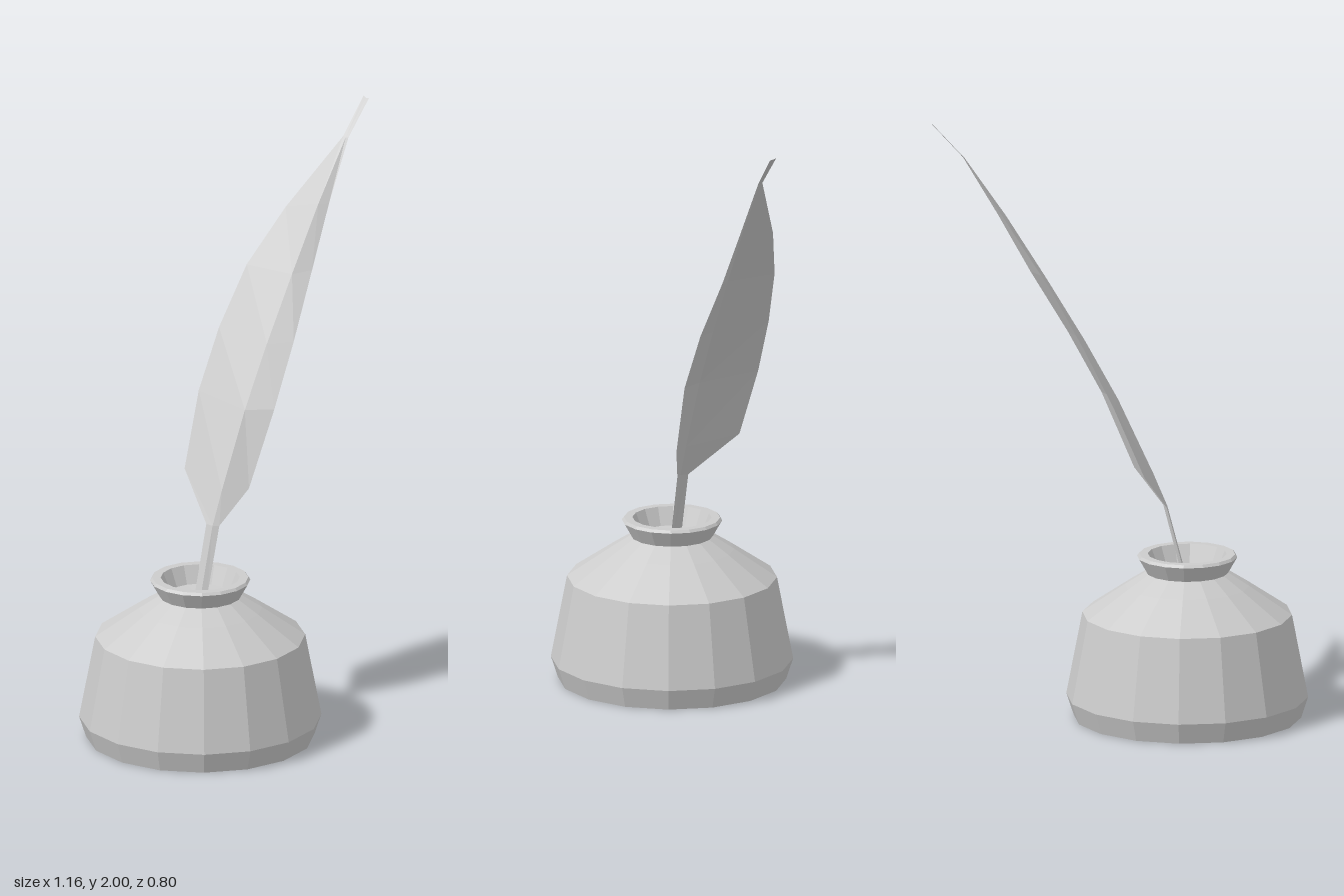
import * as THREE from 'three';

const grey = new THREE.MeshStandardMaterial({ color: 0xcccccc, flatShading: true, side: THREE.DoubleSide });
grey.name = 'light grey';

// Faceted sheet through rows of [outer, spine, inner] points
function foldedSheet(rows) {
  const positions = rows.flat(2);
  const index = [];
  const n = rows[0].length;
  for (let i = 0; i < rows.length - 1; i++) {
    for (let j = 0; j < n - 1; j++) {
      const a = i * n + j, b = a + 1, c = a + n, d = c + 1;
      index.push(a, b, c, b, d, c);
    }
  }
  const g = new THREE.BufferGeometry();
  g.setAttribute('position', new THREE.Float32BufferAttribute(positions, 3));
  g.setIndex(index);
  const flat = g.toNonIndexed();
  flat.computeVertexNormals();
  return flat;
}

export function createModel() {
  const model = new THREE.Group();
  model.name = 'inkwellWithQuill';

  // Sixteen-sided pot: foot, body, shoulder, flared lip and shallow well
  const profile = [
    [0, 0], [0.375, 0], [0.398, 0.07], [0.345, 0.347], [0.204, 0.443], [0.135, 0.487],
    [0.165, 0.54], [0.158, 0.549], [0.13, 0.549], [0.105, 0.49], [0, 0.485],
  ].map(([r, y]) => new THREE.Vector2(r, y));
  const pot = new THREE.Mesh(new THREE.LatheGeometry(profile, 16), grey);
  pot.name = 'inkPot';
  pot.position.x = -0.185;
  model.add(pot);

  // Quill: folded strip that widens into the two vanes and narrows to the tip
  const spine = (x, y) => [x, y, -0.088 - 0.46 * x];
  const rows = [
    [[-0.19, 0.487, -0.03], [-0.18, 0.487, -0.005], [-0.16, 0.487, 0.003]],
    [[-0.138, 0.71, -0.055], spine(-0.127, 0.71), [-0.107, 0.71, -0.02]],
    [[-0.14, 0.85, -0.223], spine(-0.085, 0.82), [0, 0.825, -0.02]],
    [[-0.06, 1.09, -0.287], spine(0.02, 1.07), [0.105, 1.075, -0.05]],
    [[0.03, 1.285, -0.324], spine(0.12, 1.27), [0.2, 1.28, -0.105]],
    [[0.14, 1.48, -0.347], spine(0.235, 1.48), [0.3, 1.49, -0.18]],
    [[0.28, 1.66, -0.346], spine(0.355, 1.69), [0.39, 1.69, -0.243]],
    [[0.475, 1.888, -0.317], spine(0.48, 1.885), [0.487, 1.885, -0.303]],
    [[0.57, 2.0, -0.365], spine(0.572, 1.995), [0.58, 1.995, -0.345]],
  ];
  const feather = new THREE.Mesh(foldedSheet(rows), grey);
  feather.name = 'quillFeather';
  model.add(feather);

  return model;
}
